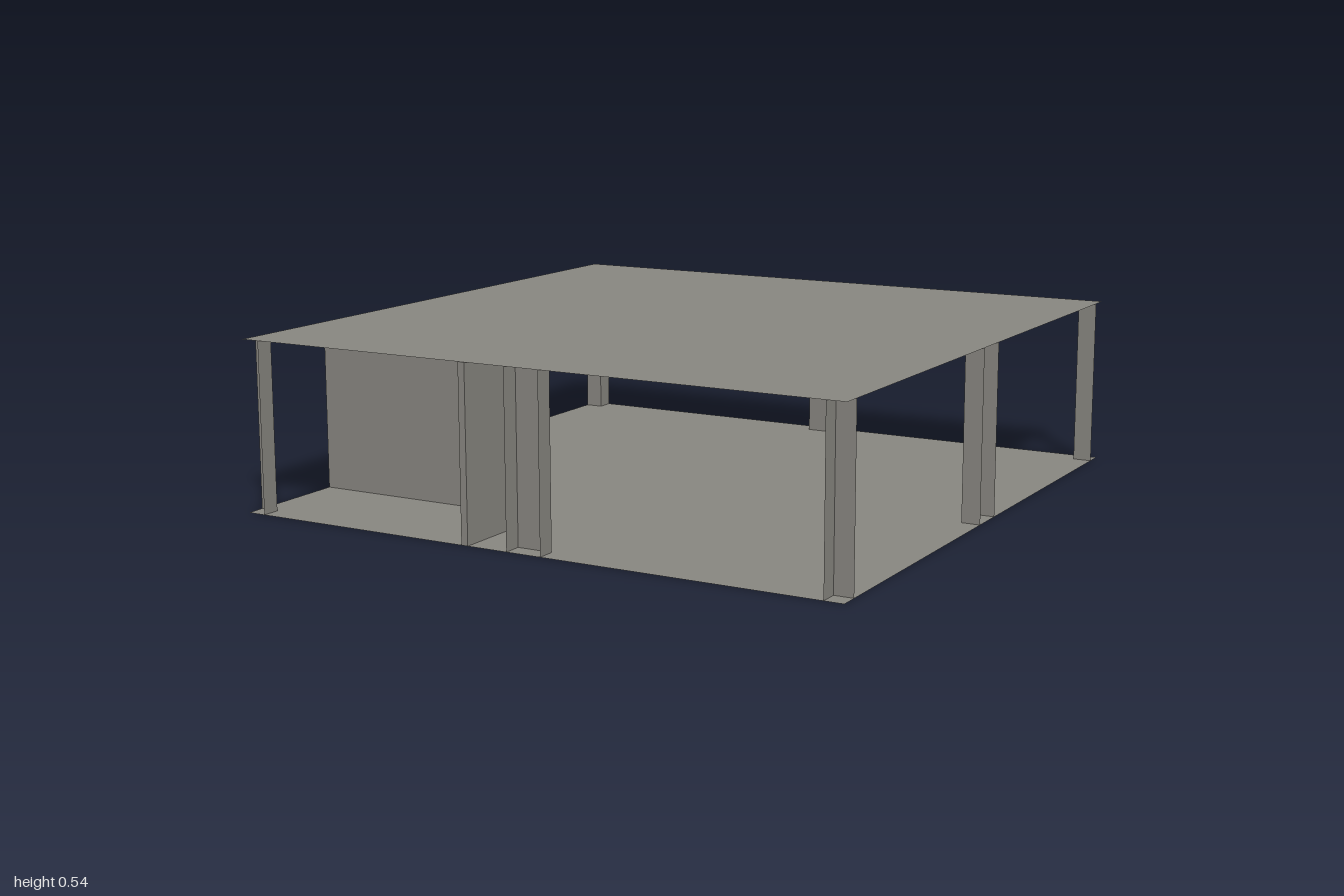
import * as THREE from 'three';

const HEIGHT = 0.535;   // floor to roof
const INSET = 0.94;     // inner line of the columns
const MID = 0.057;      // half width of the middle columns
const WALL = 0.022;     // partition thickness

export function createModel() {
  const model = new THREE.Group();
  model.name = 'pavilion';
  const concrete = new THREE.MeshStandardMaterial({ color: 0x8a8882, side: THREE.DoubleSide });
  concrete.name = 'warm grey concrete';

  const add = (parent, name, geometry, x, y, z) => {
    const mesh = new THREE.Mesh(geometry, concrete);
    mesh.name = name;
    mesh.position.set(x, y, z);
    parent.add(mesh);
    return mesh;
  };

  // Upright sheet between two points on the plan
  const sheet = (parent, name, x1, z1, x2, z2) => {
    const geometry = new THREE.PlaneGeometry(Math.hypot(x2 - x1, z2 - z1), HEIGHT);
    const mesh = add(parent, name, geometry, (x1 + x2) / 2, HEIGHT / 2, (z1 + z2) / 2);
    mesh.rotation.y = -Math.atan2(z2 - z1, x2 - x1);
  };

  // Floor and roof sheets
  for (const [name, y] of [['floor', 0], ['roof', HEIGHT]]) {
    add(model, name, new THREE.PlaneGeometry(2, 2).rotateX(-Math.PI / 2), 0, y, 0);
  }

  // Each side has an angled corner column and a channel column open to the outside
  for (let i = 0; i < 4; i++) {
    const corner = new THREE.Group();
    corner.name = 'cornerColumn';
    sheet(corner, 'cornerColumnFront', INSET, INSET, 1, INSET);
    sheet(corner, 'cornerColumnSide', INSET, INSET, INSET, 1);

    const middle = new THREE.Group();
    middle.name = 'middleColumn';
    sheet(middle, 'middleColumnBack', -MID, INSET, MID, INSET);
    for (const x of [-MID, MID]) sheet(middle, 'middleColumnSide', x, INSET, x, 1);

    for (const column of [corner, middle]) {
      column.rotation.y = i * Math.PI / 2;
      model.add(column);
    }
  }

  // Partitions enclosing the front corner room
  add(model, 'roomBackWall', new THREE.BoxGeometry(0.79, HEIGHT, WALL), -0.605, HEIGHT / 2, 0.604);
  add(model, 'roomSideWall', new THREE.BoxGeometry(WALL, HEIGHT, 0.407), -0.201, HEIGHT / 2, 0.7965);

  return model;
}
